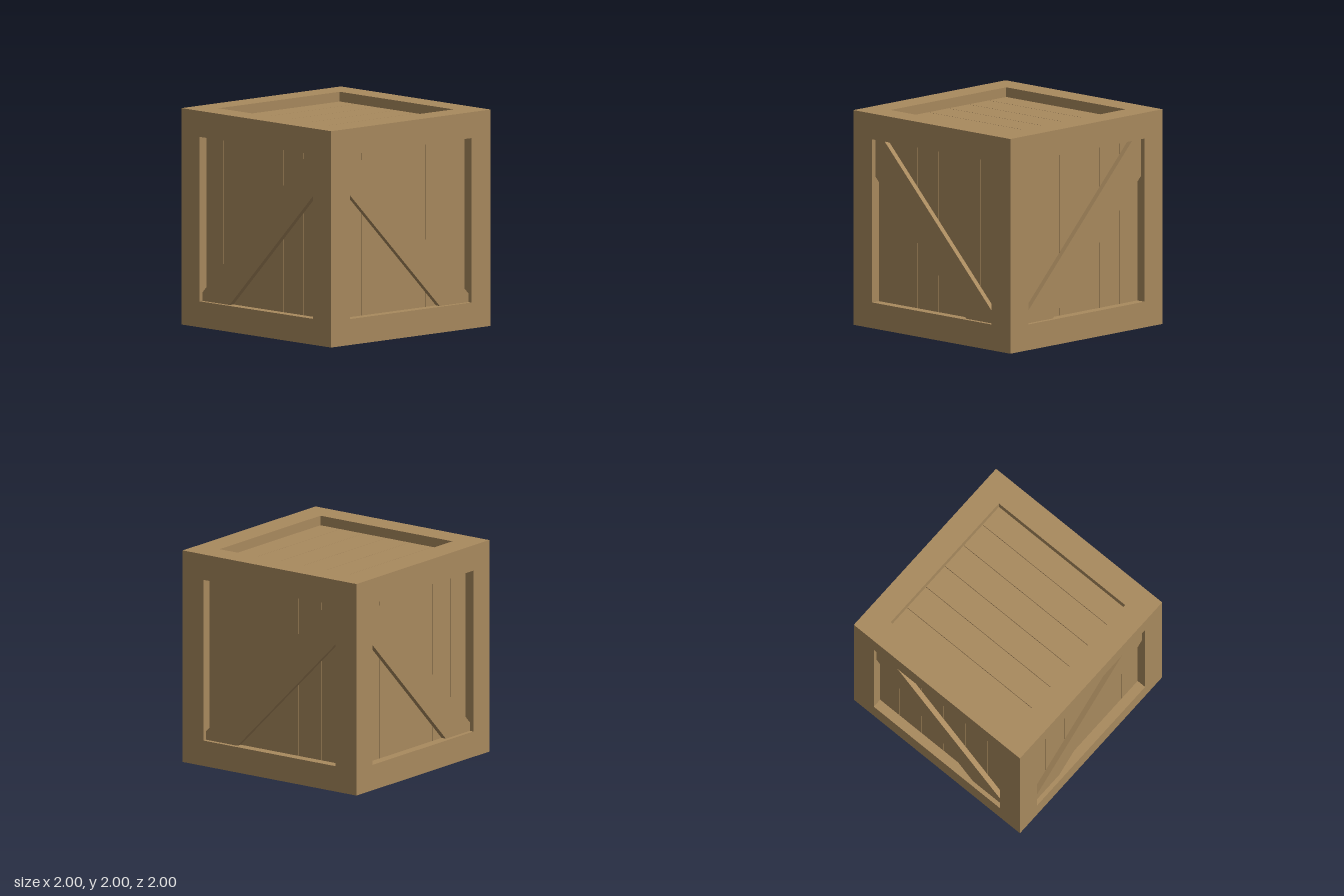
import * as THREE from 'three';

const HALF = 1, BEAM = 0.24, INNER = HALF - BEAM; // crate half size, beam width, half opening
const PANEL_FACE = 0.91, PANEL_THICK = 0.06;      // recessed plank surface
const BRACE_FACE = 0.96;
const PLANKS = 6, PITCH = 0.2655, GAP = 0.004;

export function createModel() {
  const wood = new THREE.MeshStandardMaterial({ color: 0xa98a5e });
  wood.name = 'wood';

  const crate = new THREE.Group();
  crate.name = 'crate';
  const body = new THREE.Group();
  body.name = 'body';
  body.position.y = HALF;
  crate.add(body);

  const box = (parent, name, size, pos) => {
    const mesh = new THREE.Mesh(new THREE.BoxGeometry(...size), wood);
    mesh.name = name;
    mesh.position.set(...pos);
    parent.add(mesh);
  };

  // Frame: four full-height corner posts joined by rails at top and bottom
  const frame = new THREE.Group();
  frame.name = 'frame';
  body.add(frame);
  const c = HALF - BEAM / 2;
  for (const a of [-c, c]) {
    for (const b of [-c, c]) {
      box(frame, 'cornerPost', [BEAM, 2 * HALF, BEAM], [a, 0, b]);
      box(frame, 'crossRail', [2 * INNER, BEAM, BEAM], [0, a, b]);
      box(frame, 'sideRail', [BEAM, BEAM, 2 * INNER], [a, b, 0]);
    }
  }

  // Recessed panel of planks facing +z, to be turned to each side
  const makePanel = (name) => {
    const panel = new THREE.Group();
    panel.name = name;
    for (let i = 0; i < PLANKS; i++) {
      const x = (i - (PLANKS - 1) / 2) * PITCH;
      box(panel, 'plank', [PITCH - GAP, PLANKS * PITCH, PANEL_THICK],
        [x, 0, PANEL_FACE - PANEL_THICK / 2]);
    }
    body.add(panel);
    return panel;
  };

  // Diagonal brace trimmed to the opening; dir = -1 mirrors it
  const makeBrace = (dir) => {
    const outline = [
      [-INNER, -INNER], [-0.4, -INNER], [INNER, 0.41],
      [INNER, INNER], [0.65, INNER], [-INNER, -0.68],
    ].map(([x, y]) => new THREE.Vector2(x * dir, y));
    const geometry = new THREE.ExtrudeGeometry(new THREE.Shape(outline), {
      depth: BRACE_FACE - PANEL_FACE, bevelEnabled: false,
    });
    const brace = new THREE.Mesh(geometry, wood);
    brace.name = 'diagonalBrace';
    brace.position.z = PANEL_FACE;
    return brace;
  };

  // Four upright sides, braces mirrored on alternate sides
  ['frontPanel', 'leftPanel', 'backPanel', 'rightPanel'].forEach((name, i) => {
    const panel = makePanel(name);
    panel.add(makeBrace(i % 2 ? -1 : 1));
    panel.rotation.y = i * Math.PI / 2;
  });

  // Lid and base have plain planks
  makePanel('lidPanel').rotation.x = -Math.PI / 2;
  makePanel('basePanel').rotation.x = Math.PI / 2;

  return crate;
}
